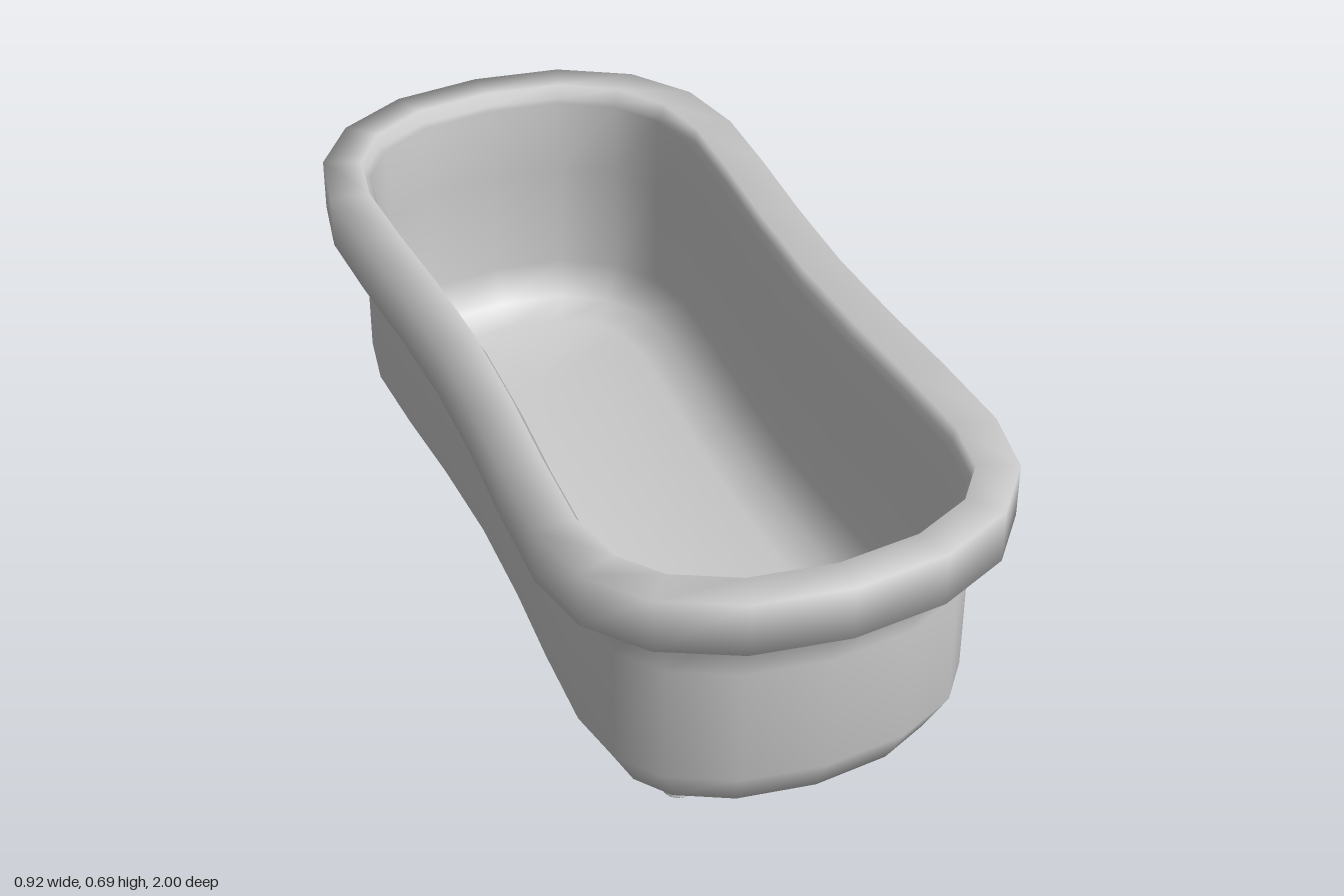
import * as THREE from 'three';
import { mergeVertices } from 'three/addons/utils/BufferGeometryUtils.js';

const material = new THREE.MeshStandardMaterial({ color: 0xcccccc, side: THREE.DoubleSide });

// Half plan outline [x, z] from the back end to the front end, narrowed at the waist
const HALF = [
  [0, -1], [0.19, -0.975], [0.34, -0.89], [0.43, -0.76], [0.46, -0.6],
  [0.453, -0.4], [0.44, -0.2], [0.433, 0.02], [0.44, 0.24], [0.453, 0.44],
  [0.46, 0.64], [0.43, 0.79], [0.34, 0.902], [0.19, 0.975], [0, 1],
];
const OUTLINE = [...HALF, ...HALF.slice(1, -1).reverse().map(([x, z]) => [-x, z])];

// Outline moved inwards by distance d
function inset(d) {
  const n = OUTLINE.length;
  return OUTLINE.map(([x, z], i) => {
    const a = OUTLINE[(i + n - 1) % n], b = OUTLINE[(i + 1) % n];
    const tx = b[0] - a[0], tz = b[1] - a[1], l = Math.hypot(tx, tz);
    return [x - (tz / l) * d, z + (tx / l) * d * 0.9];
  });
}

// Skin through closed rings of [x, y, z] points
function loft(rings) {
  const n = rings[0].length, index = [];
  for (let j = 0; j < rings.length - 1; j++) {
    for (let i = 0; i < n; i++) {
      const a = j * n + i, b = j * n + (i + 1) % n;
      index.push(a, a + n, b, b, a + n, b + n);
    }
  }
  const g = new THREE.BufferGeometry();
  g.setAttribute('position', new THREE.Float32BufferAttribute(rings.flat(2), 3));
  g.setIndex(index);
  const merged = mergeVertices(g, 1e-4);
  merged.computeVertexNormals();
  return merged;
}

const ring = ([d, y]) => inset(d).map(([x, z]) => [x, y, z]);
// Ring flattened onto the centre line, closing a floor
const spine = (y) => OUTLINE.map(([, z]) => [0, y, z * 0.62]);

export function createModel() {
  const group = new THREE.Group();
  group.name = 'bathtub';

  // Outer shell, rolled rim, inner lip and basin as one smooth skin: [inset, height]
  const profile = [
    [0.34, 0.095], [0.21, 0.11], [0.132, 0.133], [0.081, 0.22], [0.081, 0.47], [0.081, 0.577],
    [0, 0.577], [0, 0.688], [0.084, 0.688],
    [0.086, 0.655], [0.102, 0.65], [0.104, 0.48], [0.106, 0.235],
    [0.15, 0.16], [0.22, 0.135], [0.34, 0.12],
  ];
  const tub = new THREE.Mesh(loft([spine(0.09), ...profile.map(ring), spine(0.115)]), material);
  tub.name = 'tub';
  group.add(tub);

  // Four small waisted feet
  const footProfile = [[0, 0], [0.031, 0], [0.031, 0.001], [0.024, 0.04], [0.022, 0.06], [0.028, 0.112], [0, 0.112]]
    .map(([r, y]) => new THREE.Vector2(r, y));
  const footGeometry = new THREE.LatheGeometry(footProfile, 14);
  for (const x of [-0.185, 0.165]) {
    for (const z of [-0.6, 0.66]) {
      const foot = new THREE.Mesh(footGeometry, material);
      foot.name = `${z > 0 ? 'front' : 'back'}${x > 0 ? 'Left' : 'Right'}Foot`;
      foot.position.set(x, 0, z);
      group.add(foot);
    }
  }
  return group;
}
